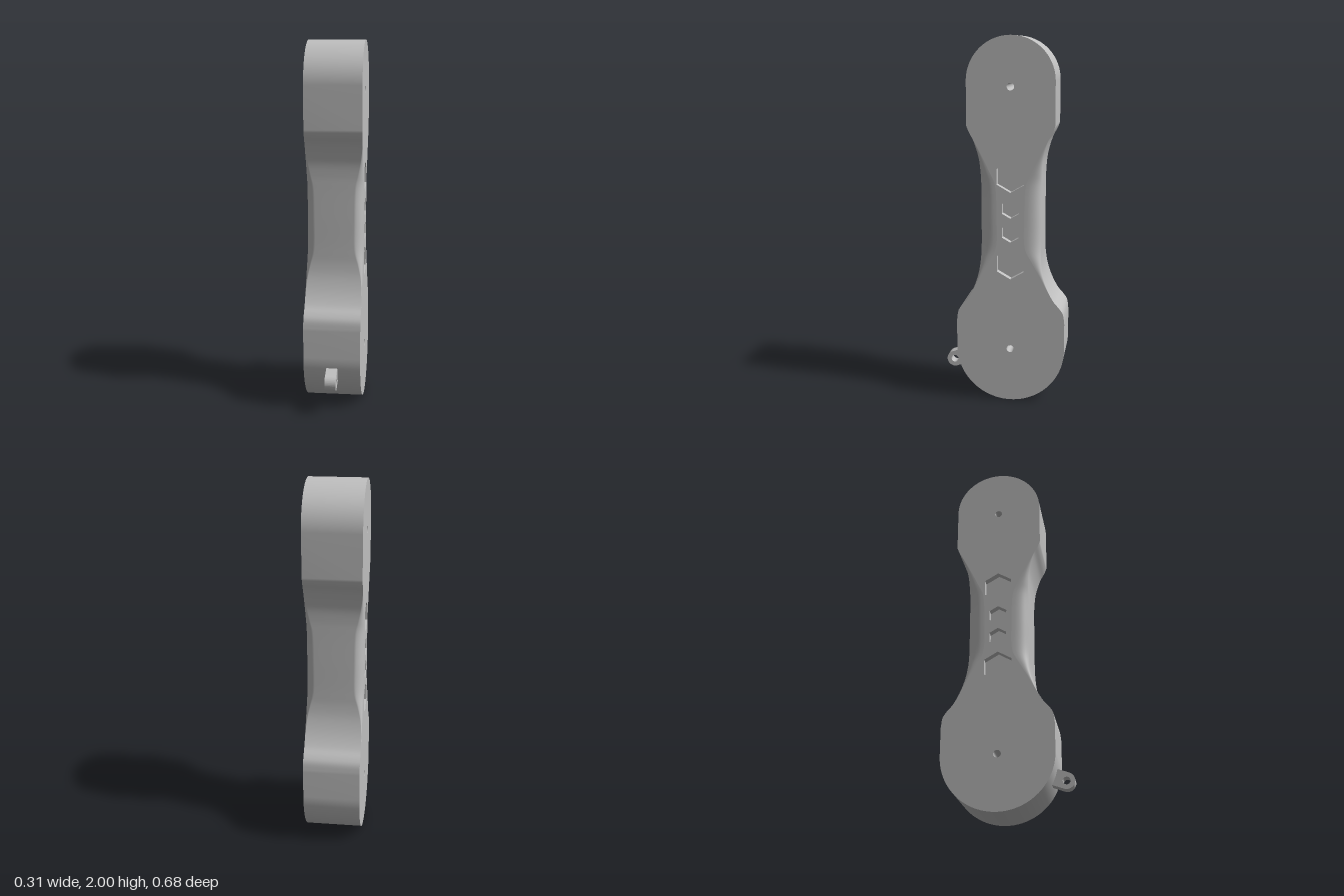
import * as THREE from 'three';

const ZC = -0.042;   // z of the link's centre line
const HX = 0.155;    // half thickness

export function createModel() {
  const group = new THREE.Group();
  const grey = new THREE.MeshStandardMaterial({ color: 0xc0c0c0, side: THREE.DoubleSide });
  grey.name = 'plain grey';
  const add = (name, geometry, parent = group) => {
    const mesh = new THREE.Mesh(geometry, grey);
    mesh.name = name;
    parent.add(mesh);
    return mesh;
  };

  // Half outline, bottom to top: height, half width, half width of the flat side face
  const half = [];
  const arc = (cy, r, a0, a1) => {
    for (let i = 0; i <= 24; i++) {
      const a = a0 + (a1 - a0) * i / 24;
      half.push([cy + r * Math.sin(a), r * Math.cos(a), r * Math.cos(a)]);
    }
  };
  arc(0.298, 0.298, -Math.PI / 2, 0);
  const neck = new THREE.CatmullRomCurve3([
    [0.45, 0.298, 0.298], [0.505, 0.29, 0.29], [0.535, 0.272, 0.272], [0.575, 0.238, 0.238],
    [0.64, 0.203, 0.2], [0.72, 0.177, 0.158], [0.79, 0.167, 0.118], [0.865, 0.165, 0.08],
    [1.04, 0.165, 0.075], [1.22, 0.165, 0.085], [1.28, 0.166, 0.112], [1.355, 0.173, 0.148],
    [1.45, 0.2, 0.198], [1.5, 0.226, 0.226], [1.53, 0.237, 0.237],
  ].map(([y, w, f]) => new THREE.Vector3(f, y, w)));
  for (const p of neck.getSpacedPoints(80)) half.push([p.y, p.z, Math.min(p.x, p.z)]);
  arc(1.763, 0.237, 0, Math.PI / 2);

  // Rim wall: a section across the thickness, rounded off where the waist narrows
  const rows = [
    ...half.map((p) => [...p, 1]),
    ...half.slice().reverse().map((p) => [...p, -1]),
  ];
  const N = 8, cols = 2 * (N + 1), pos = [], index = [];
  for (const [y, w, f, s] of rows) {
    const cx = 0.55 * (w - f);
    const k = f + (w - f) * 0.85;            // pull of the rounding
    const side = [];
    for (let j = 0; j <= N; j++) {
      const t = j / N, u = 1 - t;
      side.push([HX - t * t * cx, u * u * f + 2 * u * t * k + t * t * w]);
    }
    for (const [x, o] of side) pos.push(-x, y, ZC + s * o);
    for (const [x, o] of side.reverse()) pos.push(x, y, ZC + s * o);
  }
  for (let i = 0; i < rows.length - 1; i++) {
    for (let j = 0; j < cols - 1; j++) {
      const a = i * cols + j, b = a + 1, c = a + cols, d = c + 1;
      index.push(a, b, c, b, d, c);
    }
  }
  const rim = new THREE.BufferGeometry();
  rim.setAttribute('position', new THREE.Float32BufferAttribute(pos, 3));
  rim.setIndex(index);
  rim.computeVertexNormals();
  add('linkRim', rim);

  // Side faces with openings for the pins and the hexagonal pockets
  const pins = [0.298, 1.735];
  const pockets = [[0.78, 0.085], [0.953, 0.053], [1.085, 0.053], [1.258, 0.085]];
  const ring = (y, r, n, start) => {
    const pts = [];
    for (let i = 0; i < n; i++) {
      const a = start + i / n * Math.PI * 2;
      pts.push(new THREE.Vector2(r * Math.cos(a), y + r * Math.sin(a)));
    }
    return new THREE.Path(pts);
  };
  const face = new THREE.Shape(rows.map(([y, , f, s]) => new THREE.Vector2(s * f, y)));
  for (const y of pins) face.holes.push(ring(y, 0.02, 24, 0));
  for (const [y, r] of pockets) face.holes.push(ring(y, r, 6, Math.PI / 6));

  const depth = 0.04;
  for (const s of [1, -1]) {
    const sideGroup = new THREE.Group();
    sideGroup.name = s > 0 ? 'leftSide' : 'rightSide';
    group.add(sideGroup);
    const cap = new THREE.ShapeGeometry(face);
    cap.rotateY(s * Math.PI / 2);
    cap.translate(s * HX, 0, ZC);
    add('sideFace', cap, sideGroup);
    for (const [y, r] of pockets) {
      const wall = new THREE.CylinderGeometry(r, r, depth, 6, 1, true, Math.PI / 6).toNonIndexed();
      wall.computeVertexNormals();
      wall.rotateZ(Math.PI / 2);
      add('hexPocketWall', wall, sideGroup).position.set(s * (HX - depth / 2), y, ZC);
      const floor = new THREE.CircleGeometry(r, 6, Math.PI / 6);
      floor.rotateY(s * Math.PI / 2);
      add('hexPocketFloor', floor, sideGroup).position.set(s * (HX - depth), y, ZC);
    }
  }

  // Pin bores running right through
  for (const y of pins) {
    const bore = new THREE.CylinderGeometry(0.02, 0.02, 2 * HX, 24, 1, true);
    bore.rotateZ(Math.PI / 2);
    add('pinBore', bore).position.set(0, y, ZC);
  }

  // Small eyelet lug pointing outward from the large end
  const r = 0.044;
  const lug = new THREE.Shape();
  lug.moveTo(-0.085, -r);
  lug.lineTo(0, -r);
  lug.absarc(0, 0, r, -Math.PI / 2, Math.PI / 2, false);
  lug.lineTo(-0.085, r);
  lug.closePath();
  lug.holes.push(ring(0, 0.02, 24, 0));
  const lugGeometry = new THREE.ExtrudeGeometry(lug, { depth: 0.06, bevelEnabled: false, curveSegments: 20 });
  lugGeometry.translate(0, 0, -0.03);
  lugGeometry.rotateZ(-0.338);
  lugGeometry.rotateY(-Math.PI / 2);
  add('eyeletLug', lugGeometry).position.set(0, 0.178, 0.296);

  return group;
}
